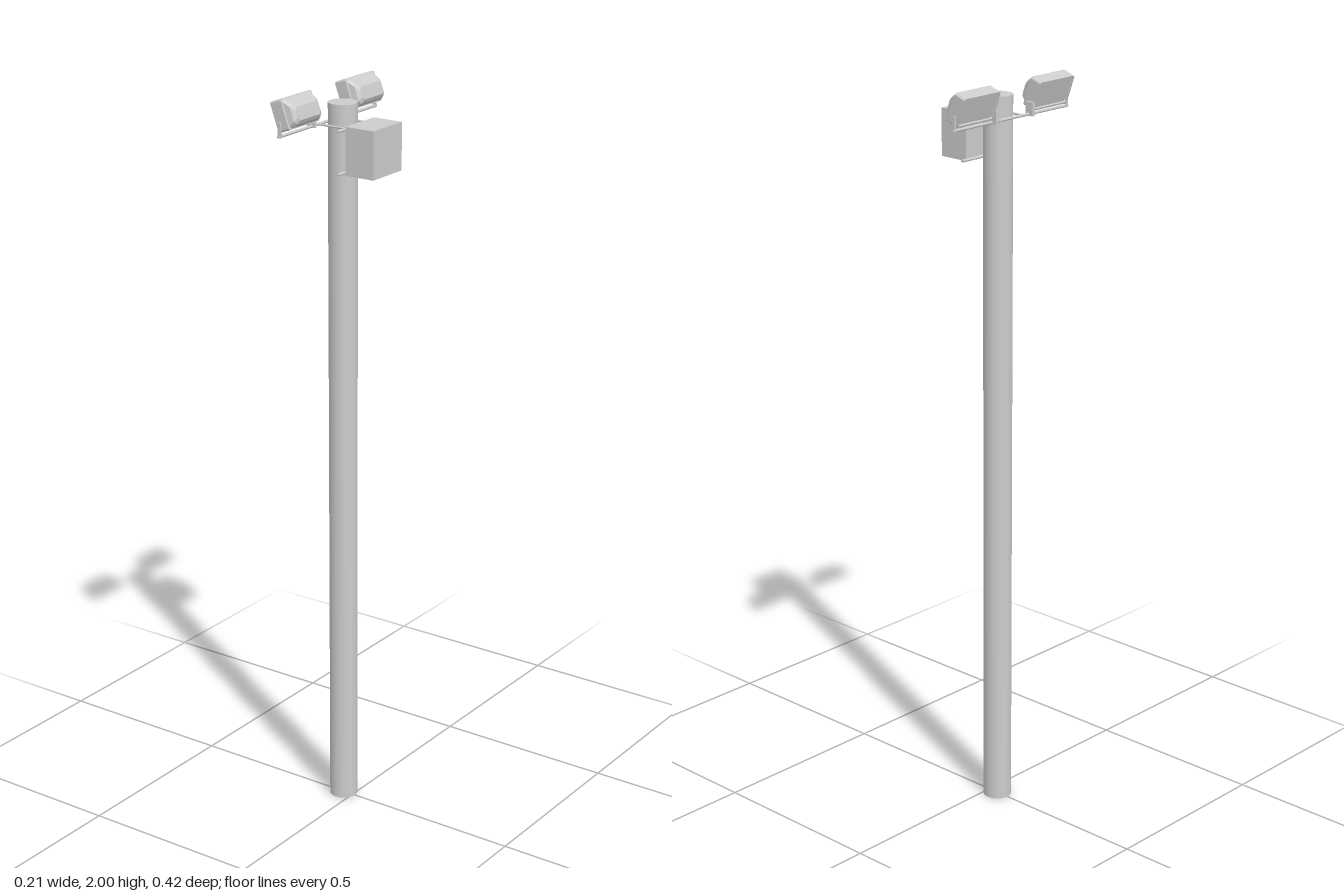
import * as THREE from 'three';

const mat = new THREE.MeshStandardMaterial({ color: 0xcccccc });

function add(parent, name, geo, x = 0, y = 0, z = 0) {
  const mesh = new THREE.Mesh(geo, mat);
  mesh.name = name;
  mesh.position.set(x, y, z);
  parent.add(mesh);
  return mesh;
}

// Round bar of a given length along x or z
function rod(axis, length, r) {
  const g = new THREE.CylinderGeometry(r, r, length, 12);
  return axis === 'x' ? g.rotateZ(Math.PI / 2) : g.rotateX(Math.PI / 2);
}

// Skin over rectangular sections with cut corners, stacked along +x.
// Section: [depth, bottom, top, half width, corner cut]
function loft(sections) {
  const pos = [], index = [], n = 8;
  for (const [d, b, t, w, c] of sections) {
    const ring = [[b, w - c], [b + c, w], [t - c, w], [t, w - c],
      [t, c - w], [t - c, -w], [b + c, -w], [b, c - w]];
    for (const [y, z] of ring) pos.push(d, y, z);
  }
  for (let s = 0; s < sections.length - 1; s++) {
    for (let i = 0; i < n; i++) {
      const a = s * n + i, b = s * n + (i + 1) % n;
      index.push(a, a + n, b, b, a + n, b + n);
    }
  }
  const last = (sections.length - 1) * n;
  for (let i = 1; i < n - 1; i++) {
    index.push(0, i, i + 1);
    index.push(last, last + i + 1, last + i);
  }
  const indexed = new THREE.BufferGeometry();
  indexed.setAttribute('position', new THREE.Float32BufferAttribute(pos, 3));
  indexed.setIndex(index);
  const g = indexed.toNonIndexed();
  // make sure the skin faces outwards
  const p = g.attributes.position;
  let volume = 0;
  const [A, B, C] = [0, 1, 2].map(() => new THREE.Vector3());
  for (let i = 0; i < p.count; i += 3) {
    A.fromBufferAttribute(p, i); B.fromBufferAttribute(p, i + 1); C.fromBufferAttribute(p, i + 2);
    volume += A.dot(B.cross(C));
  }
  if (volume < 0) {
    for (let i = 0; i < p.count; i += 3) {
      B.fromBufferAttribute(p, i + 1); C.fromBufferAttribute(p, i + 2);
      p.setXYZ(i + 1, C.x, C.y, C.z);
      p.setXYZ(i + 2, B.x, B.y, B.z);
    }
  }
  g.computeVertexNormals();
  return g;
}

export function createModel() {
  const model = new THREE.Group();
  model.name = 'floodlightPole';

  // Pole
  add(model, 'pole', new THREE.CylinderGeometry(0.038, 0.038, 1.96, 40), -0.03, 0.98, 0);

  // Control box and the two bars behind it
  add(model, 'controlBox', new THREE.BoxGeometry(0.085, 0.125, 0.126), 0.0645, 1.8525, 0);
  for (const y of [1.795, 1.905]) add(model, 'boxBar', rod('z', 0.17, 0.004), 0.014, y, 0);

  // Clamp rods past the pole and the crossbar carrying the lights
  for (const z of [-0.044, 0.044]) add(model, 'clampRod', rod('x', 0.104, 0.003), -0.03, 1.905, z);
  add(model, 'crossbar', rod('z', 0.424, 0.004), -0.075, 1.905, 0);

  // Floodlights, facing -x and tilted down
  const housing = loft([
    [0.004, 0.006, 0.074, 0.059, 0.003],
    [0, 0.005, 0.075, 0.06, 0.003],
    [0, 0, 0.08, 0.065, 0.004],
    [0.034, 0, 0.08, 0.065, 0.004],
    [0.035, 0.003, 0.077, 0.061, 0.006],
    [0.05, 0.008, 0.062, 0.057, 0.008],
    [0.058, 0.016, 0.05, 0.048, 0.008],
  ]);
  for (const side of [-1, 1]) {
    const light = new THREE.Group();
    light.name = side > 0 ? 'frontFloodlight' : 'backFloodlight';
    const body = add(light, 'lightHousing', housing, -0.08, 1.912, side * 0.138);
    body.rotation.z = THREE.MathUtils.degToRad(20);
    // Yoke ears at both ends
    add(light, 'innerEar', new THREE.BoxGeometry(0.024, 0.035, 0.009), -0.078, 1.9185, side * 0.0675);
    add(light, 'outerEar', new THREE.BoxGeometry(0.008, 0.04, 0.006), -0.075, 1.921, side * 0.206);
    model.add(light);
  }
  return model;
}
